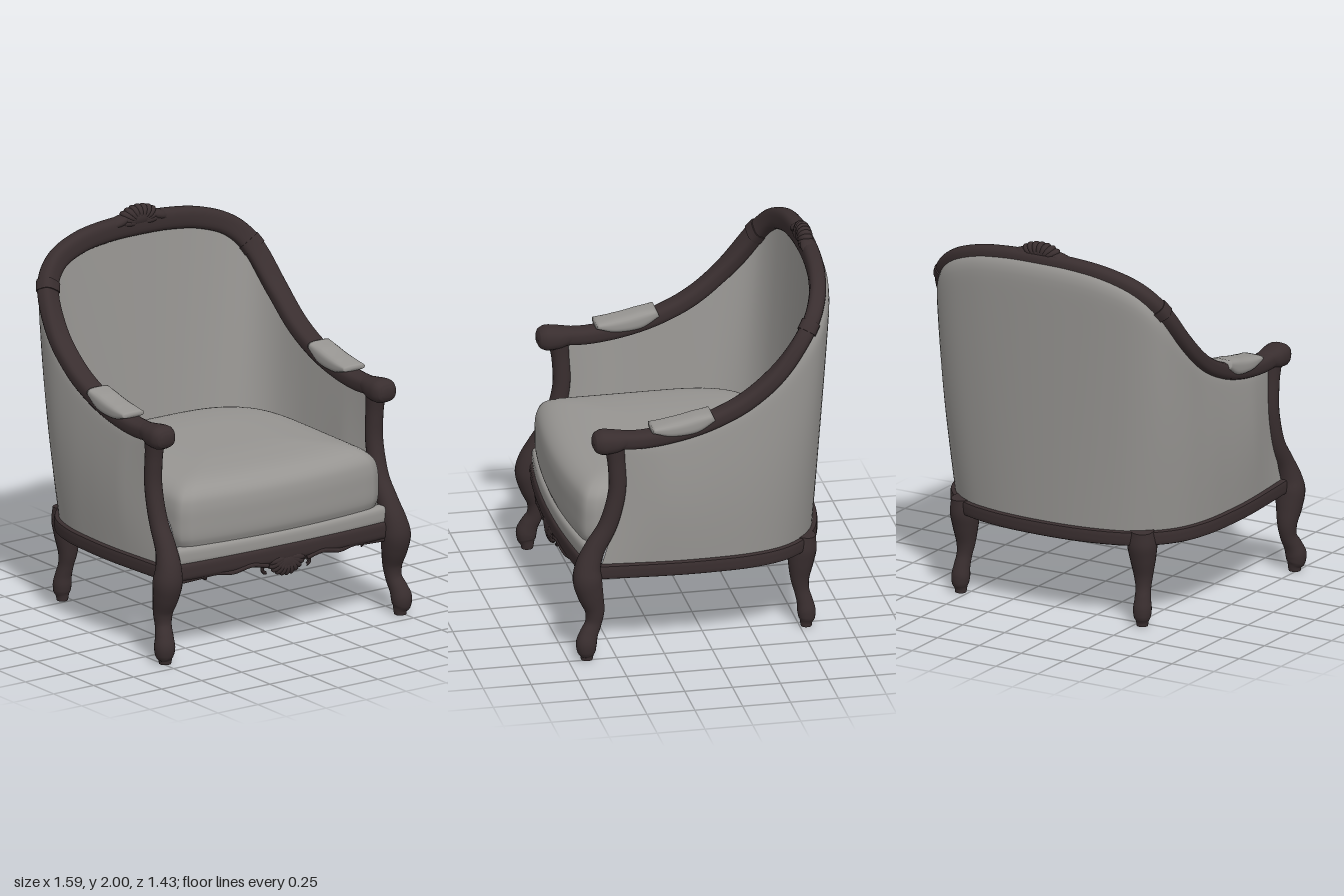
import * as THREE from 'three';
import { toCreasedNormals } from 'three/addons/utils/BufferGeometryUtils.js';

const V = (x, y, z) => new THREE.Vector3(x, y, z);
const wood = new THREE.MeshStandardMaterial({ color: 0x392e2f });
wood.name = 'dark wood';
const fabric = new THREE.MeshStandardMaterial({ color: 0x979592, side: THREE.DoubleSide });
fabric.name = 'grey fabric';

// Surface from a rule f(i, j); j may wrap round
function grid(ni, nj, wrap, f) {
  const pos = [], idx = [], row = wrap ? nj : nj + 1;
  for (let i = 0; i <= ni; i++) for (let j = 0; j < row; j++) pos.push(...f(i, j).toArray());
  for (let i = 0; i < ni; i++) for (let j = 0; j < nj; j++) {
    const k = (j + 1) % row, a = i * row + j, b = i * row + k, c = b + row, d = a + row;
    idx.push(a, b, c, a, c, d);
  }
  const g = new THREE.BufferGeometry();
  g.setAttribute('position', new THREE.Float32BufferAttribute(pos, 3));
  g.setIndex(idx);
  g.computeVertexNormals();
  return g;
}

// Polar radius of a rounded square
const squircle = (a, n) => Math.pow(Math.abs(Math.cos(a)) ** n + Math.abs(Math.sin(a)) ** n, -1 / n);

// Sweep a rounded section along a curve; sizes = [half width, half height] per point
function sweep(points, sizes, ref, seg, n = 2, sides = 20) {
  const curve = new THREE.CatmullRomCurve3(points);
  const size = new THREE.CatmullRomCurve3(points.map((p, i) => {
    const s = sizes[i] ?? sizes[0];
    return V(s[0], s[1], i * 1e-4);
  }));
  return grid(seg + 2, sides, true, (i, j) => {
    const t = THREE.MathUtils.clamp((i - 1) / seg, 0, 1), cap = i === 0 || i === seg + 2 ? 0 : 1;
    const p = curve.getPoint(t), T = curve.getTangent(t), s = size.getPoint(t);
    const W = ref(p).addScaledVector(T, -ref(p).dot(T)).normalize();
    const N = T.clone().cross(W), a = (j / sides) * Math.PI * 2, r = squircle(a, n) * cap;
    return p.addScaledVector(W, Math.cos(a) * r * s.x).addScaledVector(N, Math.sin(a) * r * s.y);
  });
}

// Mirror a half path (x > 0, ending on the centre line)
const mirrorPath = h => [...h, ...h.slice(0, -1).reverse().map(p => V(-p.x, p.y, p.z))];

const railPts = mirrorPath([
  V(0.69, 1.185, 0.52), V(0.69, 1.178, 0.35), V(0.69, 1.205, 0.15), V(0.69, 1.255, -0.02),
  V(0.69, 1.345, -0.2), V(0.683, 1.5, -0.38), V(0.635, 1.7, -0.53), V(0.54, 1.8, -0.59),
  V(0.38, 1.86, -0.625), V(0.2, 1.885, -0.64), V(0, 1.89, -0.645)]);
const basePts = mirrorPath([
  [0.705, 0.58], [0.72, 0.4], [0.735, 0.18], [0.735, 0], [0.72, -0.2], [0.67, -0.37],
  [0.58, -0.49], [0.47, -0.565], [0.33, -0.61], [0.17, -0.635], [0, -0.642],
].map(([x, z]) => V(x, 0.468, z)));
const railCurve = new THREE.CatmullRomCurve3(railPts);
const baseCurve = new THREE.CatmullRomCurve3(basePts);
const railOut = p => V(p.x / 0.48, Math.max(0, p.y - 1.45) / 0.2, 0);

// Upholstered wall lofted from the base plan up to the show-wood rail;
// its front edges tuck into the arm posts
function wall(outer) {
  return grid(100, 40, false, (i, j) => {
    const t = i / 100, v = j / 40, b = baseCurve.getPoint(t), r = railCurve.getPoint(t);
    const back = Math.max(0, -r.z / 0.65), free = Math.min(1, 14 * Math.min(t, 1 - t));
    if (outer) r.y += 0.045 * back ** 3;
    else b.set(b.x * (0.95 - 0.08 * free), 0.7, b.z * (b.z < 0 ? 0.85 : 0.9));
    const p = b.lerp(r, v), swell = Math.sin(Math.PI * v), edge = v * (1 - v ** 40);
    if (p.z > 0) p.z *= 1 - (outer ? 0.1 : 0.05) * swell;
    if (outer) {
      p.x += r.x * free * (0.03 * swell + 0.04 * edge);
      p.z -= back * 0.072 * edge;
    }
    return p;
  });
}

// Loose cushion from rings of [plan scale, height], open below: square bowed front
// reaching down to the border, shallower sides and rounded back
function cushion(rings) {
  const path = new THREE.CatmullRomCurve3(rings.map(([k, y]) => V(k, y, 0)));
  return grid(48, 120, true, (i, j) => {
    const p = path.getPoint(i / 48), a = (j / 120) * Math.PI * 2, front = Math.sin(a) > 0;
    const r = squircle(a, front ? 30 : 3.4) * p.x, x = -Math.cos(a) * r, s = Math.sin(a) * r;
    const rim = s < 0.85 * p.x ? 0.72 : 0;
    return V(x * 0.63, Math.max(p.y, rim), 0.06 + s * (front ? 0.635 - 0.055 * x * x : 0.605));
  });
}

export function createModel() {
  const model = new THREE.Group();
  const add = (name, geo, mat, parent = model) => {
    const m = new THREE.Mesh(mat === wood ? toCreasedNormals(geo, 0.75) : geo, mat);
    m.name = name;
    parent.add(m);
    return m;
  };
  const blob = (name, x, y, z, sx, sy, sz, parent) => {
    const m = add(name, new THREE.SphereGeometry(1, 18, 12), wood, parent);
    m.position.set(x, y, z);
    m.scale.set(sx, sy, sz);
    return m;
  };
  const xRef = () => V(1, 0, 0), yRef = () => V(0, 1, 0);
  // Bowed line across the front
  const bow = (half, y, rise, z) => Array.from({ length: 13 }, (_, i) => {
    const k = i / 6 - 1;
    return V(k * half, y + rise * (1 - k * k), z + 0.05 * (1 - k * k));
  });

  // Upholstery
  add('outerUpholstery', wall(true), fabric);
  add('innerUpholstery', wall(false), fabric);
  add('seatFrontBorder', sweep(bow(0.66, 0.543, 0, 0.61), [[0.047, 0.035]], yRef, 48, 4, 24), fabric);
  add('seatCushion', cushion([[0.97, 0.585], [0.995, 0.63], [1, 0.72], [0.995, 0.79],
    [0.975, 0.84], [0.925, 0.878], [0.82, 0.91], [0.5, 0.936], [0, 0.942]]), fabric);

  // Continuous arm and back rail
  add('armAndBackRail', sweep(railPts, [[0.056, 0.043]], railOut, 120, 3.2, 24), wood);

  // Base rail round sides and back
  add('baseRail', sweep(basePts, [[0.038, 0.028]], yRef, 100, 5, 24), wood);

  for (const s of [1, -1]) {
    const side = new THREE.Group();
    side.name = s > 0 ? 'leftSide' : 'rightSide';
    model.add(side);
    const limb = (name, rows, seg) => add(name, sweep(rows.map(r => V(r[0] * s, r[1], r[2])),
      rows.map(r => [r[3], r[3]]), xRef, seg, 2.2), wood, side);

    // Cabriole front leg running up into the arm post
    limb('frontLegAndPost', [
      [0.735, 0, 0.653, 0.03], [0.735, 0.025, 0.653, 0.035], [0.74, 0.05, 0.656, 0.048],
      [0.74, 0.09, 0.656, 0.053], [0.732, 0.135, 0.642, 0.047], [0.72, 0.19, 0.616, 0.042],
      [0.717, 0.26, 0.608, 0.05], [0.715, 0.35, 0.63, 0.067], [0.713, 0.43, 0.645, 0.075],
      [0.705, 0.5, 0.64, 0.066], [0.695, 0.59, 0.605, 0.054], [0.69, 0.7, 0.54, 0.048],
      [0.69, 0.8, 0.505, 0.046], [0.69, 0.92, 0.483, 0.045], [0.69, 1.05, 0.488, 0.045],
      [0.69, 1.16, 0.5, 0.052]], 80);
    // Cabriole back leg
    limb('backLeg', [
      [0.542, 0, -0.535, 0.028], [0.542, 0.025, -0.535, 0.032], [0.543, 0.05, -0.537, 0.043],
      [0.542, 0.09, -0.535, 0.047], [0.54, 0.135, -0.528, 0.042], [0.535, 0.19, -0.514, 0.039],
      [0.53, 0.26, -0.504, 0.048], [0.53, 0.35, -0.508, 0.065], [0.53, 0.43, -0.515, 0.075],
      [0.535, 0.51, -0.525, 0.06]], 50);

    // Rounded arm end
    add('armKnob', sweep([0.612, 0.6, 0.56, 0.5, 0.45, 0.41].map((z, i) => V(0.69 * s, i < 4 ? 1.18 : 1.185, z)),
      [[0.035, 0.025], [0.056, 0.047], [0.071, 0.062], [0.069, 0.056], [0.058, 0.043], [0.05, 0.035]], xRef, 24, 2.6, 24), wood, side);

    // Padded arm rest, flared at the rear
    add('armPad', sweep([[1.238, 0.31], [1.232, 0.21], [1.248, 0.09], [1.287, -0.01]].map(([y, z]) => V(0.69 * s, y, z)),
      [[0.065, 0.014], [0.069, 0.038], [0.069, 0.046], [0.067, 0.024]], xRef, 24, 3.5, 28), fabric, side);

    // Carved band where arm rail meets back rail
    const mid = s > 0 ? 0.3 : 0.7;
    add('railCollar', sweep([-0.007, 0, 0.007].map(e => railCurve.getPoint(mid + e)),
      [[0.06, 0.05]], railOut, 4, 3.2, 24), wood, side);

    // Scroll carving on the apron
    for (const [x, y, z, r] of [[0.125, 0.405, 0.68, 0.022], [0.34, 0.437, 0.675, 0.018], [0.48, 0.432, 0.655, 0.02]]) {
      const c = add('apronScroll', new THREE.TorusGeometry(r, 0.01, 8, 20, Math.PI * 1.5), wood, side);
      c.position.set(x * s, y, z);
      c.rotation.z = s > 0 ? -Math.PI / 2 : 0;
    }
    add('apronScrollBand', sweep([V(0.12 * s, 0.425, 0.69), V(0.22 * s, 0.445, 0.69), V(0.33 * s, 0.425, 0.68),
      V(0.43 * s, 0.435, 0.665), V(0.52 * s, 0.425, 0.65), V(0.64 * s, 0.415, 0.635)], [[0.015, 0.015]], yRef, 40, 2, 10), wood, side);

    // Trailing leaf beside the crest
    blob('crestLeaf', 0.12 * s, 1.925, -0.635, 0.07, 0.028, 0.042, side).rotation.z = -0.3 * s;
  }

  // Bowed front apron
  add('frontApron', sweep(bow(0.66, 0.463, 0.012, 0.63), [[0.045, 0.026]], yRef, 48, 4, 24), wood);

  // Carved shells: fans of petals at the crest and the apron centre
  const fan = (name, y, z, rx, ry, count, thick) => {
    const g = new THREE.Group();
    g.name = name;
    model.add(g);
    for (let i = 0; i < count; i++) {
      const a = (i / (count - 1) - 0.5) * Math.PI * 0.9;
      const dx = Math.sin(a) * rx, dy = Math.cos(a) * ry, len = Math.hypot(dx, dy);
      const m = blob('petal', dx / 2, y + dy / 2, z, 0.026, len / 2, thick, g);
      m.rotation.z = Math.atan2(-dx, dy);
    }
    blob('shellHeart', 0, y + ry * 0.3, z, rx * 0.8, Math.abs(ry) * 0.55, thick, g);
  };
  fan('crestShell', 1.905, -0.635, 0.14, 0.095, 11, 0.04);
  fan('apronShell', 0.45, 0.685, 0.12, -0.1, 11, 0.025);

  return model;
}
